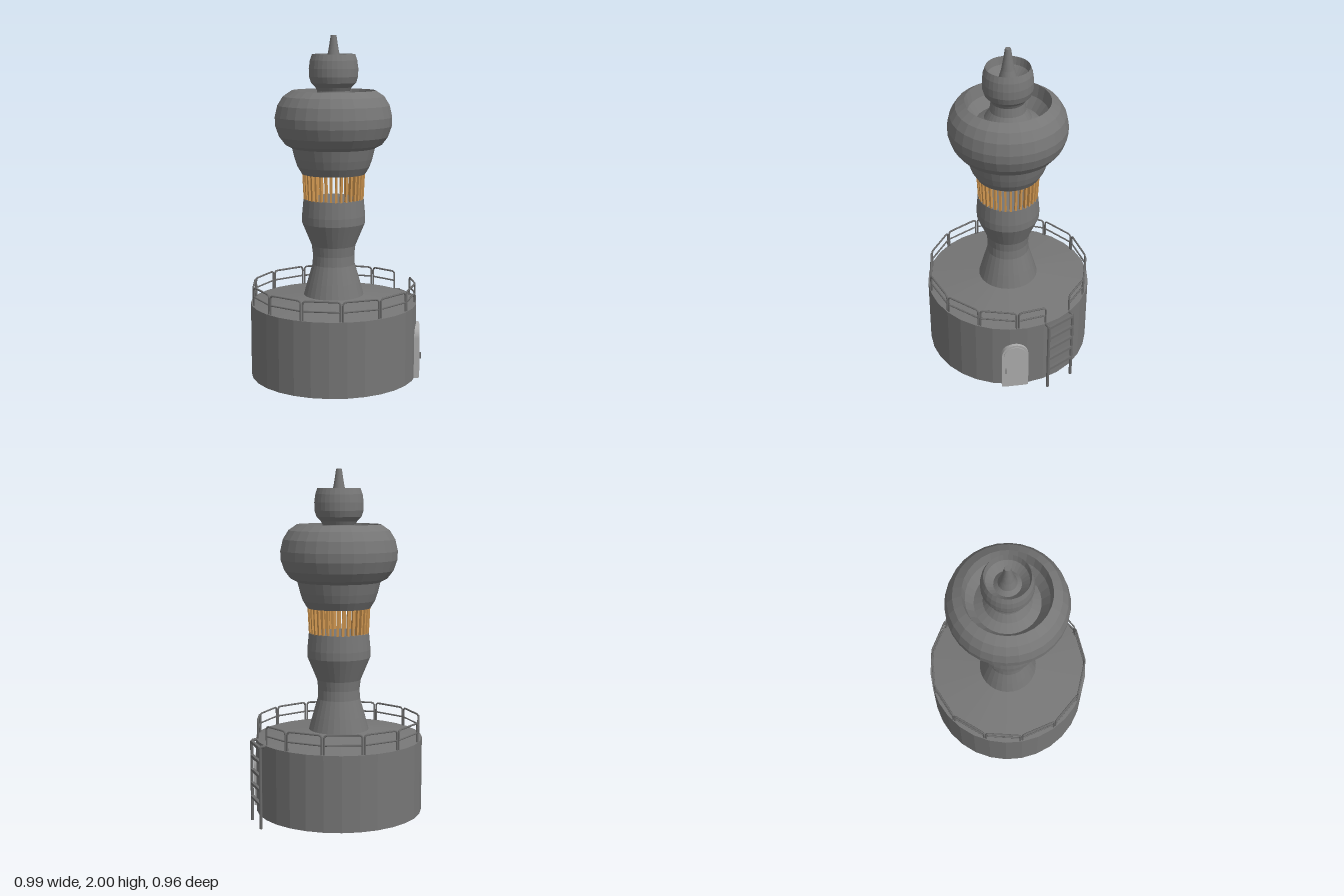
import * as THREE from 'three';

const SIDES = 30;
const stone = new THREE.MeshStandardMaterial({ color: 0x767676, flatShading: true, side: THREE.DoubleSide });
const iron = new THREE.MeshStandardMaterial({ color: 0x6c6c6c });
const paleGrey = new THREE.MeshStandardMaterial({ color: 0xacacac });
const amber = new THREE.MeshStandardMaterial({ color: 0xcf9650 });

const V = (x, y, z) => new THREE.Vector3(x, y, z);

function add(parent, name, geometry, material) {
  const mesh = new THREE.Mesh(geometry, material);
  mesh.name = name;
  parent.add(mesh);
  return mesh;
}

// Faceted solid of revolution from [radius, height] pairs
function turned(parent, name, profile) {
  const points = profile.map(([r, y]) => new THREE.Vector2(r, y));
  return add(parent, name, new THREE.LatheGeometry(points, SIDES), stone);
}

// Round bar along straight runs, with each inner corner rounded off
function bar(parent, name, points, radius, bend = 0.02) {
  const path = new THREE.CurvePath();
  let from = points[0];
  for (let i = 1; i < points.length - 1; i++) {
    const p = points[i];
    const before = p.clone().add(points[i - 1].clone().sub(p).setLength(bend));
    const after = p.clone().add(points[i + 1].clone().sub(p).setLength(bend));
    path.add(new THREE.LineCurve3(from, before));
    path.add(new THREE.QuadraticBezierCurve3(before, p, after));
    from = after;
  }
  path.add(new THREE.LineCurve3(from, points[points.length - 1]));
  const steps = points.length > 2 ? 40 : 1;
  return add(parent, name, new THREE.TubeGeometry(path, steps, radius, 6), iron);
}

// Group whose local +z points outward at a heading measured from +x towards +z
function outward(parent, name, degrees) {
  const group = new THREE.Group();
  group.name = name;
  group.rotation.y = Math.PI / 2 - THREE.MathUtils.degToRad(degrees);
  parent.add(group);
  return group;
}

// Upright slab with a round-arched top
function archSlab(halfWidth, height, depth) {
  const shape = new THREE.Shape();
  const spring = height - halfWidth;
  shape.moveTo(-halfWidth, 0);
  shape.lineTo(halfWidth, 0);
  shape.lineTo(halfWidth, spring);
  shape.absarc(0, spring, halfWidth, 0, Math.PI, false);
  shape.closePath();
  return new THREE.ExtrudeGeometry(shape, { depth, bevelEnabled: false, curveSegments: 16 });
}

function addRailing(parent) {
  const railing = new THREE.Group();
  railing.name = 'railing';
  parent.add(railing);
  const spans = [];
  for (let i = 0; i < 11; i++) spans.push([-11.5 + i * 27, 15.5 + i * 27]);
  // shorter panels on both sides of the ladder opening
  spans.push([285.5, 307.5], [327.3, 348.5]);
  const at = (deg, y) => {
    const a = THREE.MathUtils.degToRad(deg);
    return V(Math.cos(a) * 0.469, y, Math.sin(a) * 0.469);
  };
  for (const [start, end] of spans) {
    const a = start + 0.8, b = end - 0.8;
    bar(railing, 'railFrame', [at(a, 0.47), at(a, 0.586), at(b, 0.586), at(b, 0.47)], 0.0055);
    bar(railing, 'middleRail', [at(a, 0.53), at(b, 0.53)], 0.005);
  }
}

function addLadder(parent) {
  const ladder = outward(parent, 'ladder', -42.3);
  const half = 0.088, out = 0.498;
  for (const x of [-half, half]) {
    bar(ladder, 'ladderRail', [V(x, 0, out), V(x, 0.472, out), V(x, 0.472, 0.455)], 0.009, 0.012);
  }
  for (let i = 0; i < 5; i++) {
    const rung = add(ladder, 'rung', new THREE.BoxGeometry(half * 2, 0.017, 0.017), iron);
    rung.position.set(0, 0.14 + i * 0.0805, out);
  }
}

function addDoor(parent) {
  const door = outward(parent, 'door', -13);
  const centre = -0.029;
  add(door, 'doorFrame', archSlab(0.077, 0.316, 0.053), paleGrey).position.set(centre, 0.05, 0.44);
  add(door, 'doorPanel', archSlab(0.066, 0.3, 0.004), paleGrey).position.set(centre, 0.052, 0.493);
  const handle = add(door, 'doorHandle', new THREE.BoxGeometry(0.007, 0.034, 0.01), iron);
  handle.position.set(centre - 0.056, 0.18, 0.501);
}

export function createModel() {
  const model = new THREE.Group();
  model.name = 'tower';
  model.position.x = -0.02;

  // Drum base with a shallow conical roof
  turned(model, 'drumBase', [[0, 0.05], [0.479, 0.05], [0.479, 0.477], [0.165, 0.522], [0, 0.522]]);

  // Waisted lower shaft
  turned(model, 'lowerShaft', [
    [0.174, 0.515], [0.151, 0.6], [0.122, 0.7], [0.119, 0.755], [0.126, 0.81],
    [0.157, 0.885], [0.18, 0.94], [0.181, 0.985], [0.172, 1.08], [0, 1.08],
  ]);

  // Ring of upright slats around the open gallery
  const slatCount = 36;
  for (let i = 0; i < slatCount; i++) {
    const holder = outward(model, 'slatHolder', (i * 360) / slatCount);
    const slat = add(holder, 'slat', new THREE.BoxGeometry(0.012, 0.15, 0.018), amber);
    slat.position.set(0, 1.15, 0.166);
    slat.rotation.x = 0.05;
  }

  // Upper collar, wide bulb, hollow rim and the neck rising inside it
  turned(model, 'upperBulb', [
    [0, 1.222], [0.18, 1.222], [0.206, 1.265], [0.221, 1.31], [0.236, 1.37],
    [0.275, 1.39], [0.309, 1.435], [0.33, 1.495], [0.332, 1.545], [0.317, 1.61],
    [0.286, 1.66], [0.237, 1.693], [0.222, 1.62], [0.178, 1.56],
    [0.13, 1.59], [0.1, 1.64], [0.092, 1.695],
  ]);

  // Small cup, hollow, with the finial rising from its floor
  turned(model, 'topCup', [
    [0.092, 1.69], [0.102, 1.71], [0.127, 1.735], [0.138, 1.77], [0.139, 1.815],
    [0.133, 1.86], [0.121, 1.895], [0.112, 1.85], [0.072, 1.808],
    [0.05, 1.83], [0.036, 1.88], [0.025, 1.94], [0.016, 2], [0, 2],
  ]);

  addRailing(model);
  addLadder(model);
  addDoor(model);

  const root = new THREE.Group();
  root.name = 'model';
  root.add(model);
  return root;
}
